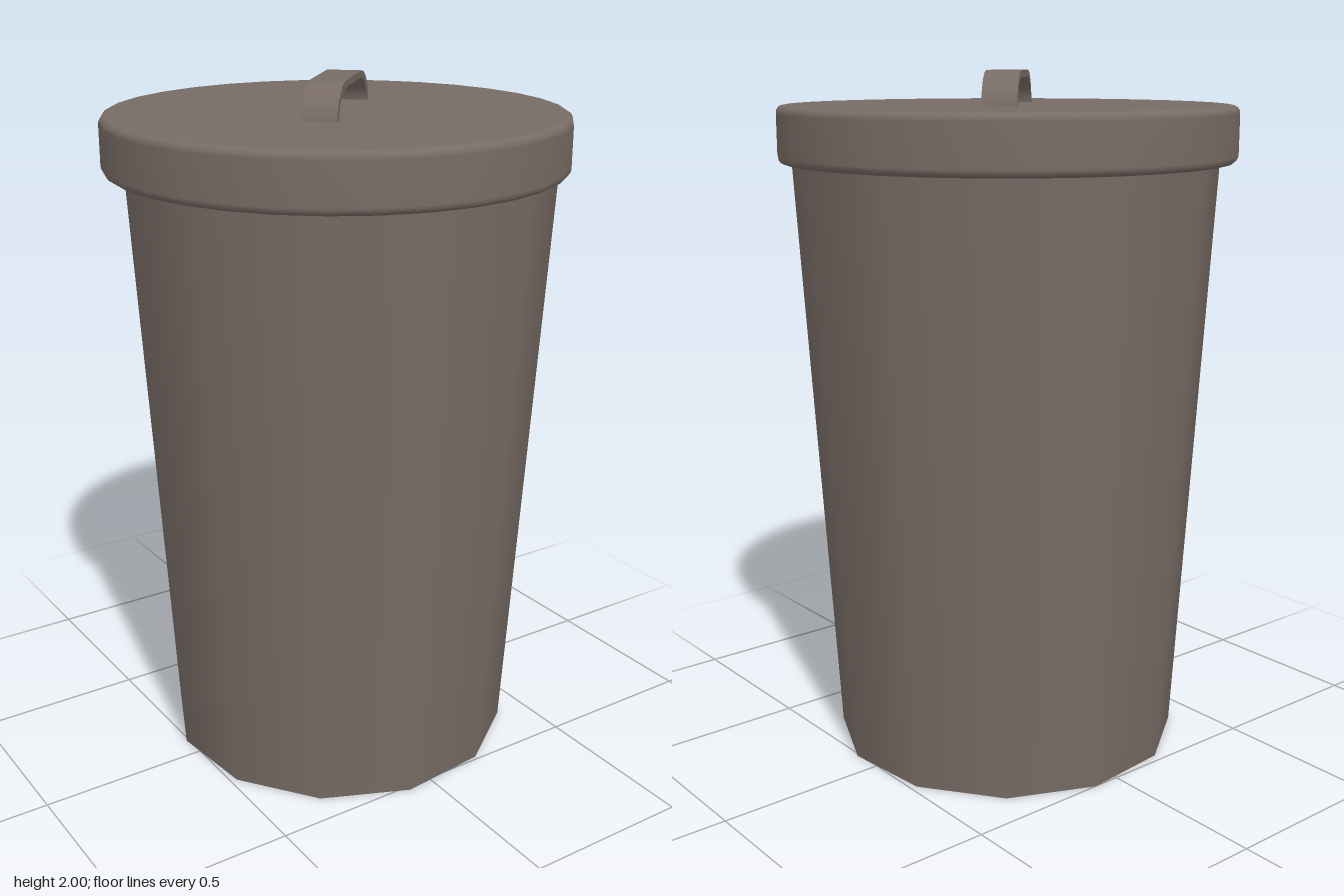
import * as THREE from 'three';
import { toCreasedNormals } from 'three/addons/utils/BufferGeometryUtils.js';

const DEG = Math.PI / 180;

export function createModel() {
  const group = new THREE.Group();
  group.name = 'lidded bin';
  const taupe = new THREE.MeshStandardMaterial({ color: 0x786c65 });
  taupe.name = 'taupe';

  const add = (name, geometry, parent = group) => {
    const mesh = new THREE.Mesh(geometry, taupe);
    mesh.name = name;
    parent.add(mesh);
    return mesh;
  };

  // Tapered, thick-walled, twelve-sided body, open underneath
  const body = new THREE.Group();
  body.name = 'body';
  body.rotation.y = 21 * DEG;
  body.position.z = 0.008;
  group.add(body);

  const height = 1.76, sides = 12;
  add('outerWall', new THREE.CylinderGeometry(0.619, 0.515, height, sides, 1, true), body)
    .position.y = height / 2;

  // Inner wall runs top to bottom so that it faces inward
  add('innerWall', new THREE.LatheGeometry(
    [new THREE.Vector2(0.475, height), new THREE.Vector2(0.371, 0)], sides), body);

  // Flat ring the bin stands on
  add('baseRim', new THREE.RingGeometry(0.371, 0.515, sides, 1, -Math.PI / 2).rotateX(Math.PI / 2), body);

  // Round lid with softened top and bottom edges
  const bottom = 1.745, top = 1.905, radius = 0.657, bevel = 0.022;
  const profile = [new THREE.Vector2(0, bottom), new THREE.Vector2(radius - bevel - 0.006, bottom)];
  for (const [y, start] of [[bottom + bevel, -90], [top - bevel, 0]]) {
    for (let i = 0; i <= 4; i++) {
      const a = (start + i * 22.5) * DEG;
      profile.push(new THREE.Vector2(radius - bevel + bevel * Math.cos(a), y + bevel * Math.sin(a)));
    }
  }
  profile.push(new THREE.Vector2(radius - bevel - 0.006, top), new THREE.Vector2(0, top));
  const lid = add('lid', new THREE.LatheGeometry(profile, 32));
  lid.rotation.y = -1.5 * DEG;

  // Flat strap handle arched diagonally over the lid
  const foot = 1.89, width = 0.098;
  const arch = (half, peak, corner) => {
    const points = [];
    for (let i = 0; i <= 8; i++) {
      const a = i / 8 * Math.PI / 2;
      points.push(new THREE.Vector2(half - corner + corner * Math.cos(a), foot + (peak - foot) * Math.sin(a)));
    }
    return [...points, ...points.map(p => new THREE.Vector2(-p.x, p.y)).reverse()];
  };
  const strap = new THREE.Shape([
    ...arch(0.229, 2, 0.125),
    ...arch(0.203, 1.98, 0.103).reverse(),
  ]);
  const strapGeometry = new THREE.ExtrudeGeometry(strap, { depth: width, bevelEnabled: false });
  strapGeometry.translate(0, 0, -width / 2);
  add('handle', toCreasedNormals(strapGeometry, 40 * DEG)).rotation.y = 45 * DEG;

  return group;
}
